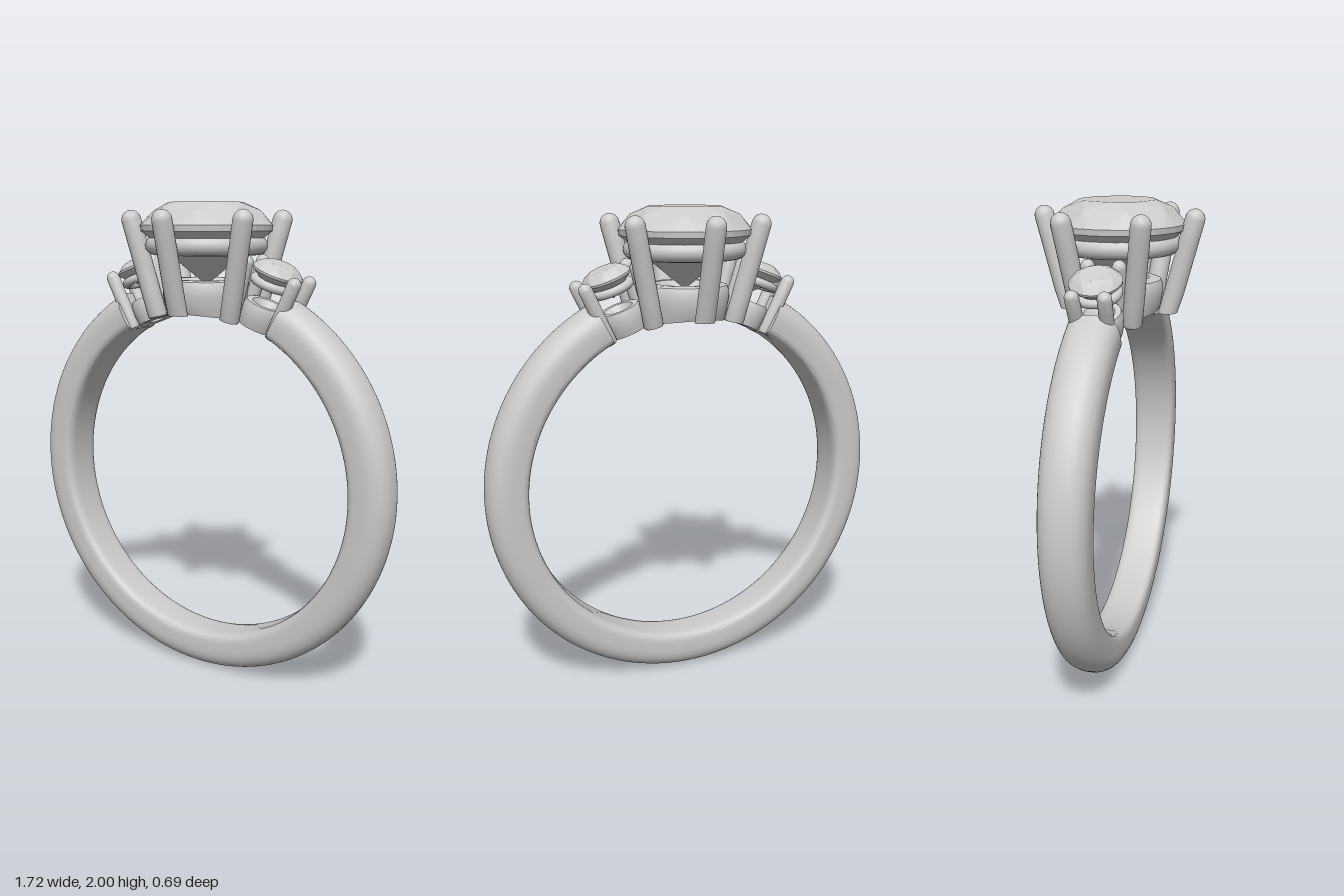
import * as THREE from 'three';
import { toCreasedNormals } from 'three/addons/utils/BufferGeometryUtils.js';
import { ConvexGeometry } from 'three/addons/geometries/ConvexGeometry.js';

// All parts are laid out around the centre of the finger hole.
const CENTRE_Y = 0.865, INNER = 0.695, OUTER = 0.86;
const metal = new THREE.MeshStandardMaterial({ color: 0xcccccc });
const facet = new THREE.MeshStandardMaterial({ color: 0xcccccc, flatShading: true });

// Shank: a D-shaped section swept round an open arc, slightly wider at the top
function bandGeometry() {
  const gap = THREE.MathUtils.degToRad(28.5), A = 120, T = 48, mid = 0.765;
  const pos = [], idx = [];
  for (let i = -1; i <= A + 1; i++) {
    const a = gap + (2 * Math.PI - 2 * gap) * THREE.MathUtils.clamp(i / A, 0, 1);
    const close = i < 0 || i > A ? 0 : 1; // outermost loops shrink to a point and cap the ends
    const half = 0.096 + 0.008 * Math.cos(a);
    for (let j = 0; j < T; j++) {
      const t = (j / T) * 2 * Math.PI, c = Math.cos(t), s = Math.sin(t);
      const e = c > 0 ? 0.85 : 0.4;
      const depth = c > 0 ? OUTER - mid : mid - INNER;
      const r = mid + close * depth * Math.sign(c) * Math.abs(c) ** e;
      const z = close * half * Math.sign(s) * Math.abs(s) ** e;
      pos.push(r * Math.sin(a), r * Math.cos(a), z);
    }
  }
  for (let i = 0; i < A + 2; i++) {
    for (let j = 0; j < T; j++) {
      const k = (j + 1) % T, p = i * T, q = p + T;
      idx.push(p + j, p + k, q + j, p + k, q + k, q + j);
    }
  }
  const g = new THREE.BufferGeometry();
  g.setAttribute('position', new THREE.Float32BufferAttribute(pos, 3));
  g.setIndex(idx);
  return toCreasedNormals(g, 0.7);
}

// Round brilliant cut, origin in the girdle plane, for a girdle radius of 0.27
function gemGeometry(scale) {
  const pts = [new THREE.Vector3(0, -0.235, 0)];
  const ring = (n, r, y, turn) => {
    for (let i = 0; i < n; i++) {
      const a = ((i + turn) / n) * 2 * Math.PI;
      pts.push(new THREE.Vector3(r * Math.sin(a), y, r * Math.cos(a)));
    }
  };
  ring(8, 0.155, 0.095, 0);
  ring(8, 0.22, 0.063, 0.5);
  ring(32, 0.27, 0.005, 0);
  ring(32, 0.268, -0.018, 0);
  ring(8, 0.13, -0.128, 0.5);
  pts.forEach(p => p.multiplyScalar(scale));
  return new ConvexGeometry(pts);
}

// Round-ended rod between two points
function prongGeometry(from, to, radius) {
  const dir = to.clone().sub(from);
  const g = new THREE.CapsuleGeometry(radius, dir.length(), 6, 20, 4);
  g.applyQuaternion(new THREE.Quaternion().setFromUnitVectors(
    new THREE.Vector3(0, 1, 0), dir.clone().normalize()));
  const m = from.clone().add(to).multiplyScalar(0.5);
  return g.translate(m.x, m.y, m.z);
}

// Push anything inside the finger hole out to its surface
function trimToFinger(g) {
  const p = g.attributes.position;
  for (let i = 0; i < p.count; i++) {
    const d = Math.hypot(p.getX(i), p.getY(i));
    if (d < INNER) p.setXY(i, p.getX(i) * INNER / d, p.getY(i) * INNER / d);
  }
  return toCreasedNormals(g, 0.6);
}

function lathe(points) {
  return new THREE.LatheGeometry(points.map(p => new THREE.Vector2(...p)), 48);
}

function torus(radius, tube, y) {
  return new THREE.TorusGeometry(radius, tube, 16, 64).rotateX(Math.PI / 2).translate(0, y, 0);
}

export function createModel() {
  const model = new THREE.Group();
  model.name = 'threeStoneRing';
  const ring = new THREE.Group();
  ring.name = 'ring';
  ring.position.y = CENTRE_Y;
  model.add(ring);

  const add = (parent, name, geometry, material = metal) => {
    const mesh = new THREE.Mesh(geometry, material);
    mesh.name = name;
    parent.add(mesh);
  };
  add(ring, 'band', bandGeometry());

  // Centre setting: stone, rail, base collar and six splayed prongs
  const centre = new THREE.Group();
  centre.name = 'centreSetting';
  ring.add(centre);
  add(centre, 'centreStone', gemGeometry(1).translate(0, 1.04, 0), facet);
  add(centre, 'centreRail', torus(0.212, 0.038, 0.965));
  add(centre, 'centreBase', trimToFinger(lathe([
    [0.08, 0.67], [0.16, 0.67], [0.172, 0.72], [0.18, 0.77], [0.18, 0.805], [0.172, 0.824],
    [0.155, 0.83], [0.125, 0.83], [0.1, 0.8], [0.08, 0.75], [0.08, 0.67]])));
  for (let i = 0; i < 6; i++) {
    const a = (i / 6) * 2 * Math.PI, s = Math.sin(a), c = Math.cos(a);
    add(centre, 'centreProng', trimToFinger(prongGeometry(
      new THREE.Vector3(0.205 * s, 0.685, 0.205 * c),
      new THREE.Vector3(0.307 * s, 1.065, 0.307 * c), 0.04)));
  }

  // Side settings: the same arrangement, smaller and tilted along the band
  for (const side of [1, -1]) {
    const setting = new THREE.Group();
    setting.name = side > 0 ? 'leftSetting' : 'rightSetting';
    ring.add(setting);
    const tilt = g => g.rotateZ(-side * 0.37);
    add(setting, 'sideStone', tilt(gemGeometry(0.38).translate(0, 0.928, 0)), facet);
    add(setting, 'sideRail', tilt(torus(0.08, 0.018, 0.88)));
    add(setting, 'sideBase', trimToFinger(tilt(lathe([
      [0.032, 0.68], [0.08, 0.68], [0.088, 0.73], [0.09, 0.775], [0.083, 0.795],
      [0.06, 0.795], [0.032, 0.76], [0.032, 0.68]]))));
    for (const x of [1, -1]) {
      for (const z of [1, -1]) {
        add(setting, 'sideProng', trimToFinger(tilt(prongGeometry(
          new THREE.Vector3(x * 0.096, 0.705, z * 0.055),
          new THREE.Vector3(x * 0.113, 0.925, z * 0.062), 0.028))));
      }
    }
  }
  return model;
}
